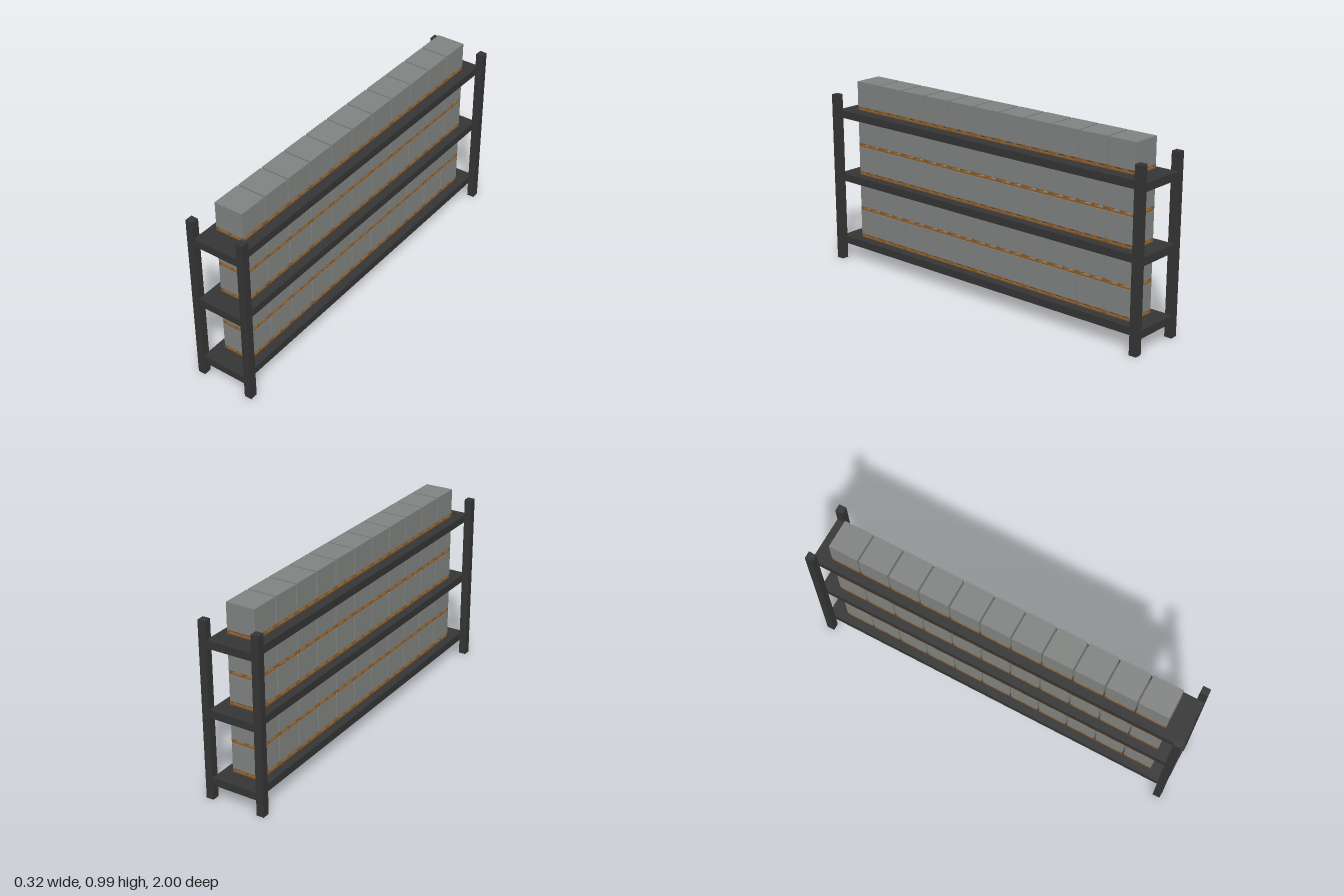
import * as THREE from 'three';

const steel = new THREE.MeshStandardMaterial({ color: 0x353535 });
steel.name = 'dark steel';
const carton = new THREE.MeshStandardMaterial({ color: 0x818482 });
carton.name = 'grey carton';
const wood = new THREE.MeshStandardMaterial({ color: 0x8a5d2c });
wood.name = 'pallet wood';

// Box whose y is measured at its underside
function block(parent, name, material, [w, h, d], [x, y, z]) {
  const mesh = new THREE.Mesh(new THREE.BoxGeometry(w, h, d), material);
  mesh.name = name;
  mesh.position.set(x, y + h / 2, z);
  parent.add(mesh);
}

const W = 0.153, D = 0.155; // load footprint
const BLOCK = 0.013;

// Pallet open on all four sides, carrying one large carton
function createLoad() {
  const load = new THREE.Group();
  load.name = 'palletLoad';
  const xs = [-1, 0, 1].map(i => i * (W - BLOCK) / 2);
  const zs = [-1, 0, 1].map(i => i * (D - BLOCK) / 2);
  for (const z of zs) block(load, 'palletCrossBoard', wood, [W, 0.007, BLOCK], [0, 0, z]);
  for (const x of xs) {
    block(load, 'palletRunner', wood, [BLOCK, 0.0065, D], [x, 0.0003, 0]);
    for (const z of zs) block(load, 'palletBlock', wood, [BLOCK, 0.011, BLOCK], [x, 0.007, z]);
  }
  block(load, 'palletDeck', wood, [W, 0.002, D], [0, 0.018, 0]);
  block(load, 'carton', carton, [W, 0.134, D], [0, 0.02, 0]);
  return load;
}

export function createModel() {
  const rack = new THREE.Group();
  rack.name = 'palletRack';

  // Corner posts
  for (const x of [-0.143, 0.142])
    for (const z of [-0.98, 0.98])
      block(rack, 'post', steel, [0.039, 0.915, 0.04], [x, 0, z]);

  // Shelves
  for (const y of [0.079, 0.434, 0.784])
    block(rack, 'shelf', steel, [0.246, 0.04, 1.996], [-0.001, y, 0]);

  // Five layers of eleven loads
  const load = createLoad();
  for (const y of [0.12, 0.276, 0.475, 0.631, 0.831]) {
    for (let i = 0; i < 11; i++) {
      const copy = load.clone();
      copy.position.set(-0.003, y, -0.006 + (i - 5) * 0.1645);
      rack.add(copy);
    }
  }
  return rack;
}
